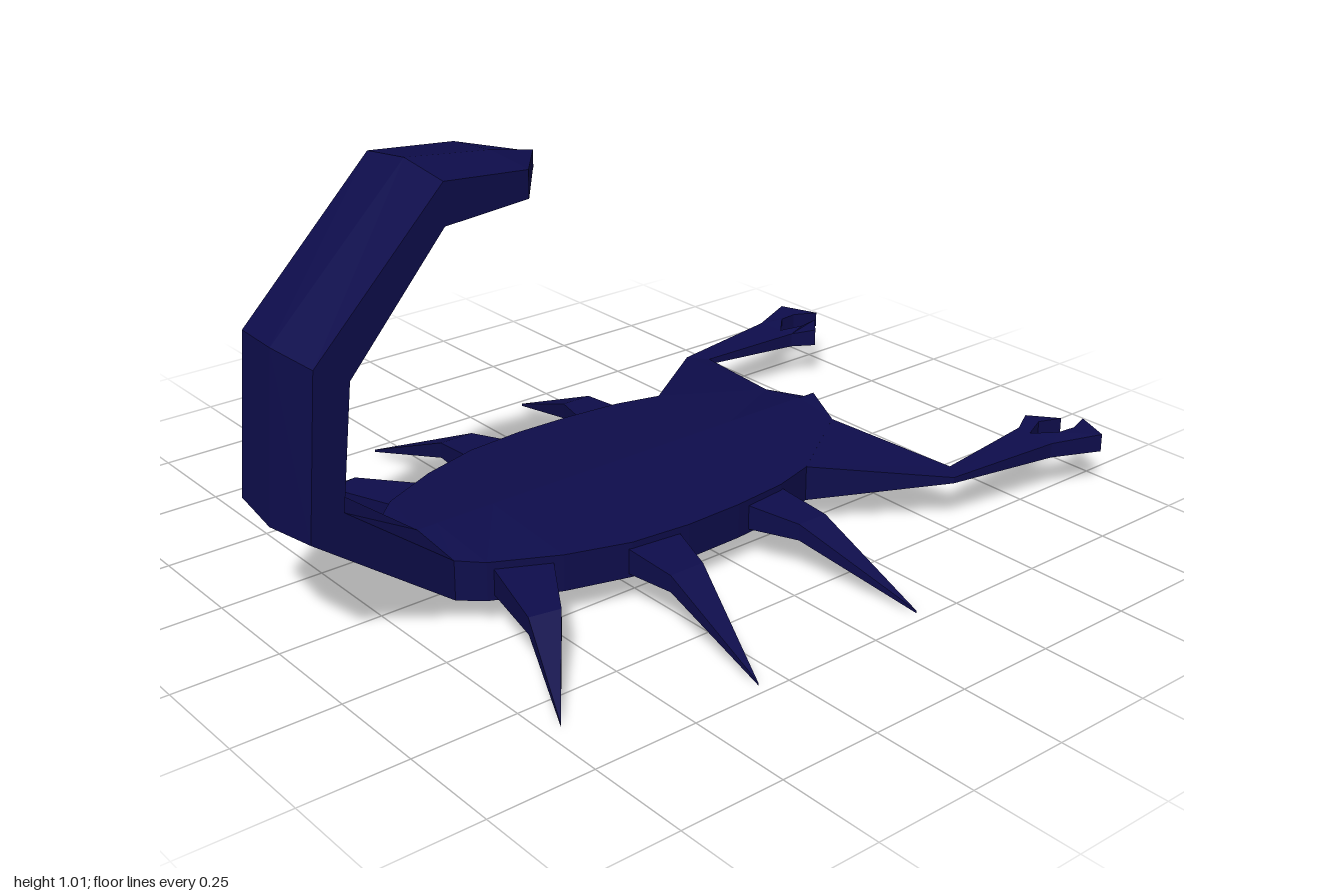
import * as THREE from 'three';

const navy = new THREE.MeshStandardMaterial({ color: 0x0e0d4c });
navy.name = 'navy shell';

// Unshared corners give flat facets
function meshFrom(tris, name) {
  const g = new THREE.BufferGeometry();
  g.setAttribute('position', new THREE.Float32BufferAttribute(tris.flat(2), 3));
  g.computeVertexNormals();
  const m = new THREE.Mesh(g, navy);
  m.name = name;
  return m;
}

// Slab from an outline of [x, z, lowY, highY]; side mirrors it in x
function slab(outline, side, name) {
  const p = outline.map(([x, z, lo, hi]) => ({ v: new THREE.Vector2(x * side, z), lo, hi }));
  if (THREE.ShapeUtils.isClockWise(p.map(q => q.v))) p.reverse();
  const low = p.map(q => [q.v.x, q.lo, q.v.y]);
  const high = p.map(q => [q.v.x, q.hi, q.v.y]);
  const tris = [];
  for (const [a, b, c] of THREE.ShapeUtils.triangulateShape(p.map(q => q.v), [])) {
    tris.push([low[a], low[b], low[c]], [high[a], high[c], high[b]]);
  }
  p.forEach((_, i) => {
    const j = (i + 1) % p.length;
    tris.push([low[i], high[i], high[j]], [low[i], high[j], low[j]]);
  });
  return meshFrom(tris, name);
}

// Six-sided loft with a centre ridge; rings are [halfWidth, ridgeZ, ridgeY, keelZ, keelY]
function loft(rings, name) {
  const loops = rings.map(([w, tz, ty, bz, by]) => {
    const k = 0.1 + 0.25 * w;
    const at = (x, t) => [x, ty + (by - ty) * t, tz + (bz - tz) * t];
    return [at(0, 0), at(w, k), at(w, 1 - k), at(0, 1), at(-w, 1 - k), at(-w, k)];
  });
  const tris = [];
  for (let r = 0; r < loops.length - 1; r++) {
    const a = loops[r], b = loops[r + 1];
    for (let i = 0; i < 6; i++) {
      const j = (i + 1) % 6;
      tris.push([a[i], b[i], b[j]], [a[i], b[j], a[j]]);
    }
  }
  return meshFrom(tris, name);
}

export function createModel() {
  const model = new THREE.Group();
  model.name = 'scorpion';

  // Body: [z, halfWidth] from nose to tail root
  const widths = [[-0.53, 0], [-0.48, 0.12], [-0.25, 0.27], [-0.14, 0.3], [0, 0.314], [0.15, 0.318],
    [0.3, 0.305], [0.45, 0.26], [0.6, 0.188], [0.65, 0.14]];
  model.add(loft(widths.map(([z, w]) => [w, z, 0.175, z, 0.045]), 'body'));

  // Tail curling up and over, ending in a vertical wedge
  model.add(loft([
    [0.14, 0.65, 0.175, 0.65, 0.045],
    [0.14, 0.89, 0.36, 1.0, 0.295],
    [0.14, 0.86, 0.62, 0.97, 0.68],
    [0.14, 0.64, 0.88, 0.64, 1.008],
    [0.135, 0.43, 0.9, 0.43, 0.985],
    [0, 0.32, 0.925, 0.32, 0.965],
  ], 'tail'));

  // Legs: base, knee and tip outlines in [x, z]
  const legs = [
    { name: 'frontLeg', base: [[0.27, -0.15], [0.27, -0.02]], knee: [[0.434, -0.153], [0.434, -0.073]], tip: [0.725, -0.15] },
    { name: 'middleLeg', base: [[0.27, 0.16], [0.27, 0.31]], knee: [[0.434, 0.21], [0.434, 0.3]], tip: [0.725, 0.312] },
    { name: 'rearLeg', base: [[0.21, 0.445], [0.17, 0.58]], knee: [[0.4, 0.563], [0.386, 0.637]], tip: [0.593, 0.713] },
  ];

  for (const side of [1, -1]) {
    const prefix = side > 0 ? 'left ' : 'right ';
    for (const { name, base, knee, tip } of legs) {
      const leg = new THREE.Group();
      leg.name = prefix + name;
      const b = base.map(q => [...q, 0.075, 0.14]);
      const k = knee.map(q => [...q, 0.085, 0.125]);
      leg.add(slab([b[0], b[1], k[1], k[0]], side, 'thigh'));
      leg.add(slab([k[0], k[1], [...tip, 0, 0.006]], side, 'shin'));
      model.add(leg);
    }

    // Claw arm: shoulder, forearm and open pincer
    const arm = new THREE.Group();
    arm.name = prefix + 'clawArm';
    const elbowIn = [0.434, -0.563, 0.105, 0.12], elbowOut = [0.482, -0.525, 0.105, 0.12];
    const wristIn = [0.407, -0.84, 0.095, 0.132], wristOut = [0.52, -0.83, 0.095, 0.132];
    const notch = [0.446, -0.835, 0.095, 0.132];
    arm.add(slab([[0.12, -0.48, 0.062, 0.158], [0.27, -0.25, 0.067, 0.153], elbowOut, elbowIn], side, 'shoulder'));
    arm.add(slab([elbowIn, elbowOut, wristOut, notch, wristIn], side, 'forearm'));
    arm.add(slab([wristIn, notch, [0.423, -0.895, 0.093, 0.138], [0.44, -0.96, 0.095, 0.135],
      [0.376, -0.9, 0.093, 0.138]], side, 'innerPincer'));
    arm.add(slab([notch, wristOut, [0.571, -0.955, 0.093, 0.138], [0.476, -1.0, 0.095, 0.135],
      [0.5, -0.935, 0.093, 0.138], [0.495, -0.885, 0.093, 0.138]], side, 'outerPincer'));
    model.add(arm);
  }
  return model;
}
